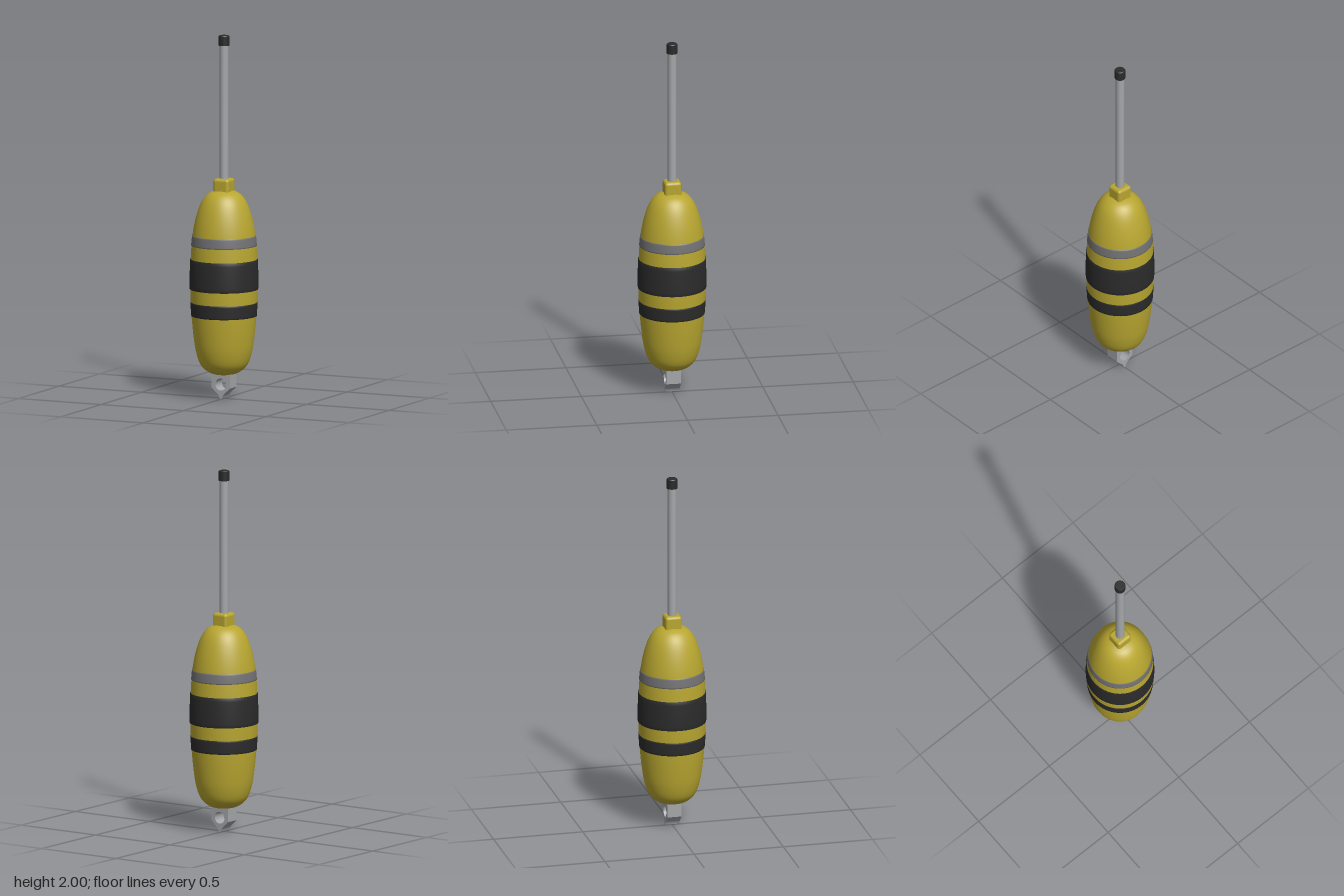
import * as THREE from 'three';
import { RoundedBoxGeometry } from 'three/addons/geometries/RoundedBoxGeometry.js';

const mat = (name, color) => {
  const m = new THREE.MeshStandardMaterial({ color });
  m.name = name;
  return m;
};

export function createModel() {
  const yellow = mat('float yellow', 0xb8a630);
  const black = mat('band black', 0x2b2b2b);
  const grey = mat('band grey', 0x727274);
  const metal = mat('pole grey', 0xa4a6a9);

  const group = new THREE.Group();
  const add = (name, geometry, material, y = 0) => {
    const mesh = new THREE.Mesh(geometry, material);
    mesh.name = name;
    mesh.position.y = y;
    group.add(mesh);
    return mesh;
  };

  // Float profile, from the bottom centre to the top centre
  const profile = new THREE.SplineCurve([
    [0, 0.135], [0.05, 0.138], [0.095, 0.157], [0.13, 0.195], [0.152, 0.26],
    [0.165, 0.34], [0.176, 0.45], [0.182, 0.56], [0.184, 0.66], [0.181, 0.78],
    [0.172, 0.9], [0.153, 1.0], [0.125, 1.08], [0.09, 1.127], [0.045, 1.148], [0, 1.152],
  ].map(([r, y]) => new THREE.Vector2(r, y))).getPoints(90);
  profile.forEach((p) => { p.x = Math.max(p.x, 0); });
  add('float', new THREE.LatheGeometry(profile, 64), yellow);

  const radiusAt = (y) => {
    const i = profile.findIndex((p) => p.y >= y);
    const a = profile[i - 1], b = profile[i];
    return THREE.MathUtils.lerp(a.x, b.x, (y - a.y) / (b.y - a.y));
  };

  // Painted bands follow the float just above its surface
  const band = (name, y0, y1, lift, material) => {
    const points = [new THREE.Vector2(radiusAt(y0) - 0.002, y0)];
    for (let i = 0; i <= 8; i++) {
      const y = THREE.MathUtils.lerp(y0, y1, i / 8);
      points.push(new THREE.Vector2(radiusAt(y) + lift, y));
    }
    points.push(new THREE.Vector2(radiusAt(y1) - 0.002, y1));
    add(name, new THREE.LatheGeometry(points, 64), material);
  };
  band('lowerBand', 0.46, 0.535, 0.002, black);
  band('middleBand', 0.607, 0.772, 0.003, black);
  band('upperBand', 0.847, 0.902, 0.002, grey);

  // Square collar, pole and end cap
  add('collar', new RoundedBoxGeometry(0.092, 0.115, 0.092, 4, 0.016), yellow, 1.157);
  add('pole', new THREE.CylinderGeometry(0.024, 0.024, 0.8, 24), metal, 1.57);
  add('poleCap', new THREE.LatheGeometry([
    [0, 1.945], [0.029, 1.945], [0.029, 1.945], [0.029, 1.996],
    [0.029, 1.996], [0.026, 2], [0.026, 2], [0, 2],
  ].map(([r, y]) => new THREE.Vector2(r, y)), 32), black);

  // Towing eye: pointed plate with a round hole
  const eye = new THREE.Shape();
  eye.moveTo(-0.056, 0.165);
  eye.lineTo(-0.056, 0.066);
  eye.lineTo(-0.02, 0.033);
  eye.quadraticCurveTo(-0.01, 0.022, -0.006, 0.008);
  eye.quadraticCurveTo(0, 0, 0.006, 0.008);
  eye.quadraticCurveTo(0.01, 0.022, 0.02, 0.033);
  eye.lineTo(0.056, 0.066);
  eye.lineTo(0.056, 0.165);
  eye.closePath();
  const hole = new THREE.Path();
  hole.absarc(0, 0.085, 0.033, 0, Math.PI * 2, true);
  eye.holes.push(hole);
  const eyeGeometry = new THREE.ExtrudeGeometry(eye, {
    depth: 0.08, bevelEnabled: false, curveSegments: 16,
  });
  eyeGeometry.translate(0, 0, -0.04);
  add('towingEye', eyeGeometry, metal);

  return group;
}
